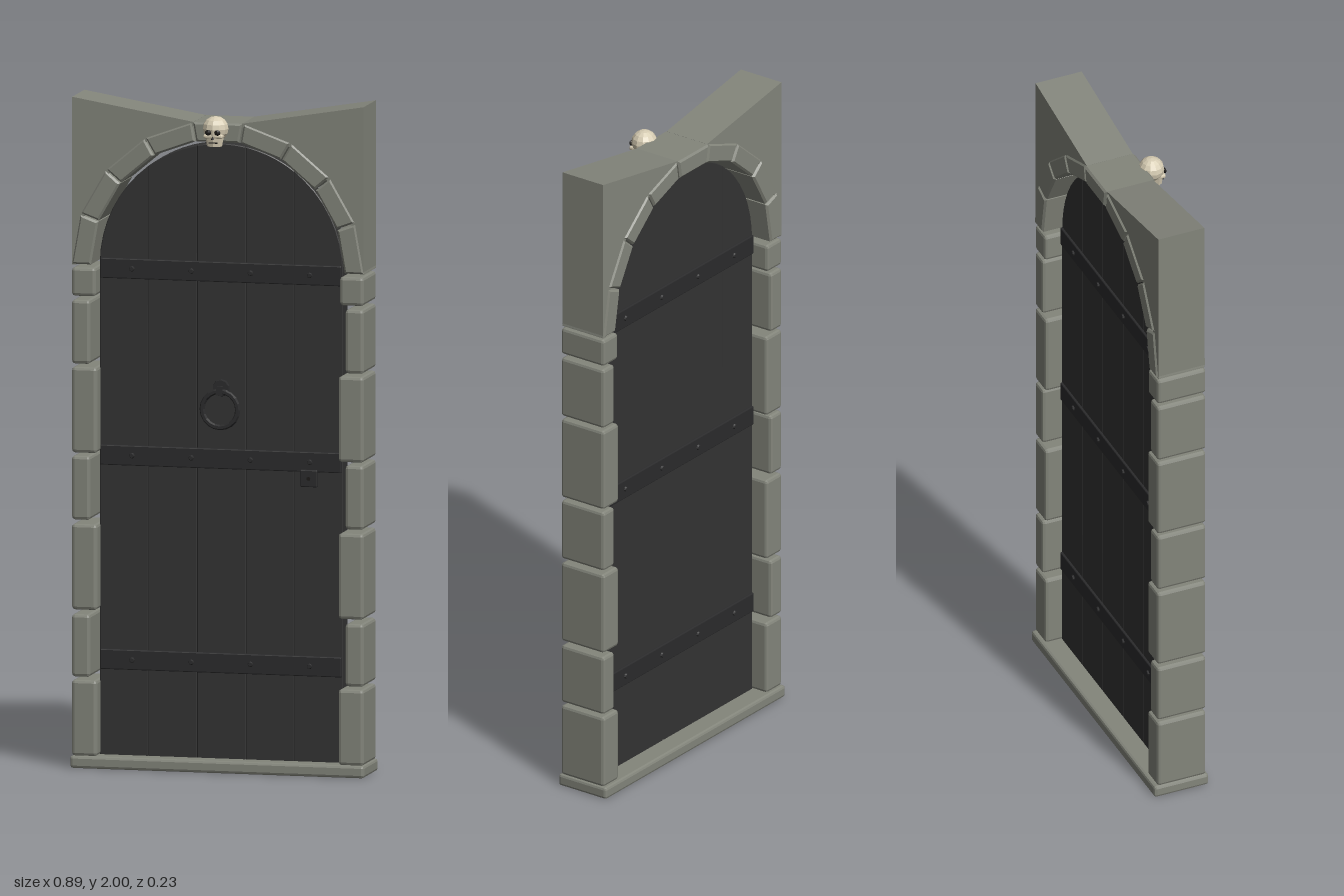
import * as THREE from 'three';
import { RoundedBoxGeometry } from 'three/addons/geometries/RoundedBoxGeometry.js';

const material = (name, color) => {
  const m = new THREE.MeshStandardMaterial({ color, flatShading: true });
  m.name = name;
  return m;
};

export function createModel() {
  const stone = material('stone', 0x83857b);
  const wood = material('dark wood', 0x333333);
  const iron = material('iron', 0x2b2b2c);
  const bone = material('bone', 0xd6ccb3);
  const hollow = material('hollow', 0x1c1a18);

  const model = new THREE.Group();
  model.name = 'archedDoorway';
  const add = (name, geometry, mat, x = 0, y = 0, z = 0, parent = model) => {
    const mesh = new THREE.Mesh(geometry, mat);
    mesh.name = name;
    mesh.position.set(x, y, z);
    parent.add(mesh);
    return mesh;
  };
  // chamfered block given by its limits
  const block = (name, x0, x1, y0, y1, z0, z1, c, mat) =>
    add(name, new RoundedBoxGeometry(x1 - x0, y1 - y0, z1 - z0, 1, c), mat,
      (x0 + x1) / 2, (y0 + y1) / 2, (z0 + z1) / 2);
  // outline extruded from z0 to z1 with a chamfer kept inside it
  const slab = (name, points, z0, z1, c, mat) => {
    const shape = new THREE.Shape(points.map(([x, y]) => new THREE.Vector2(x, y)));
    const geometry = new THREE.ExtrudeGeometry(shape, {
      depth: z1 - z0 - 2 * c, bevelEnabled: c > 0, bevelSize: c, bevelThickness: c,
      bevelOffset: -c, bevelSegments: 1,
    });
    return add(name, geometry, mat, 0, 0, z0 + c);
  };

  const SPRING = 1.5; // height where the arch begins
  const onArch = (r, degrees) => {
    const a = THREE.MathUtils.degToRad(degrees);
    return [r * Math.sin(a), SPRING + r * Math.cos(a)];
  };

  // sill
  block('sill', -0.447, 0.447, 0, 0.037, -0.115, 0.06, 0.008, stone);

  // jamb stones, wide and narrow in turn: bottom, top, inner x
  const courses = [
    [0.036, 0.262, 0.367], [0.272, 0.458, 0.388], [0.472, 0.727, 0.367],
    [0.74, 0.93, 0.388], [0.94, 1.195, 0.367], [1.205, 1.395, 0.388], [1.407, 1.492, 0.371],
  ];
  for (const side of [-1, 1]) {
    for (const [y0, y1, inner] of courses) {
      const xs = [side * inner, side * 0.444].sort((a, b) => a - b);
      block('jambStone', xs[0], xs[1], y0, y1, -0.104, 0.053, 0.009, stone);
    }
  }

  // nine arch stones, the middle one being the keystone
  for (let i = -4; i <= 4; i++) {
    const a0 = i * 20 - 10, a1 = i * 20 + 10, gap = 0.3;
    const key = i === 0 ? 0.002 : 0;
    slab(i === 0 ? 'keystone' : 'archStone', [
      onArch(0.386, a0 + gap), onArch(0.386, a1 - gap),
      onArch(0.444, a1 - gap), onArch(0.444, a0 + gap),
    ], -0.107 - key, 0.052 + key, 0.006, stone);
  }

  // spandrels filling the corners above the arch
  for (const side of [-1, 1]) {
    const outline = [[0.443, SPRING], [0.443, 2], [0.074, 1.938]];
    for (let a = 10; a <= 90; a += 20) outline.push(onArch(0.432, a));
    slab('spandrel', outline.map(([x, y]) => [side * x, y]), -0.102, 0.047, 0, stone);
  }

  // five door planks cut to the arch
  const R = 0.37, width = 2 * R / 5;
  for (let i = 0; i < 5; i++) {
    const x0 = -R + i * width, x1 = x0 + width;
    const a0 = Math.asin(Math.max(-1, x0 / R)), a1 = Math.asin(Math.min(1, x1 / R));
    const outline = [[x0, 0.03], [x1, 0.03]];
    for (let k = 8; k >= 0; k--) {
      const a = a0 + (a1 - a0) * k / 8;
      outline.push([R * Math.sin(a), SPRING + R * Math.cos(a)]);
    }
    slab('doorPlank', outline, -0.05, 0.005, 0.0025, wood);
  }

  // iron straps and rivets on both faces
  const rivet = new THREE.CylinderGeometry(0.006, 0.009, 0.006, 8).rotateX(Math.PI / 2);
  const rivetBack = rivet.clone().rotateY(Math.PI);
  for (const y of [0.322, 0.931, 1.488]) {
    block('strap', -0.367, 0.367, y - 0.03, y + 0.03, -0.057, 0.012, 0.003, iron);
    for (const x of [-0.27, -0.09, 0.09, 0.27]) {
      add('rivet', rivet, iron, x, y, 0.014);
      add('rivet', rivetBack, iron, x, y, -0.059);
    }
  }

  // ring handle
  const handle = new THREE.Group();
  handle.name = 'ringHandle';
  model.add(handle);
  add('handlePlate', new THREE.CylinderGeometry(0.024, 0.027, 0.012, 10).rotateX(Math.PI / 2),
    iron, 0, 1.142, 0.009, handle);
  add('handleStaple', new THREE.BoxGeometry(0.018, 0.026, 0.022), iron, 0, 1.136, 0.02, handle);
  add('handleRing', new THREE.TorusGeometry(0.054, 0.008, 6, 20), iron, 0, 1.08, 0.022, handle);

  // lock plate below the middle strap
  block('lockPlate', 0.242, 0.294, 0.857, 0.908, 0.002, 0.018, 0.003, iron);
  add('keyhole', new THREE.CylinderGeometry(0.006, 0.006, 0.003, 8).rotateX(Math.PI / 2),
    hollow, 0.268, 0.882, 0.0185);

  // skull on the keystone
  const skull = new THREE.Group();
  skull.name = 'skull';
  skull.position.set(0, 1.925, 0.074);
  model.add(skull);
  add('cranium', new THREE.SphereGeometry(0.039, 12, 8).scale(1, 0.95, 0.98), bone, 0, 0, 0, skull);
  const face = new THREE.CylinderGeometry(0.032, 0.023, 0.05, 8).scale(1, 1, 0.75);
  add('face', face, bone, 0, -0.026, 0.014, skull);
  add('cheekbones', new RoundedBoxGeometry(0.058, 0.012, 0.03, 1, 0.004), bone, 0, -0.02, 0.02, skull);
  const socket = new THREE.SphereGeometry(0.0095, 8, 6).scale(1, 0.9, 0.5);
  for (const side of [-1, 1]) add('eyeSocket', socket, hollow, side * 0.014, -0.008, 0.036, skull);
  add('noseHole', new THREE.ConeGeometry(0.005, 0.011, 4).scale(1, 1, 0.6), hollow, 0, -0.023, 0.037, skull);
  add('mouthLine', new THREE.BoxGeometry(0.026, 0.003, 0.004), hollow, 0, -0.039, 0.032, skull);

  return model;
}
